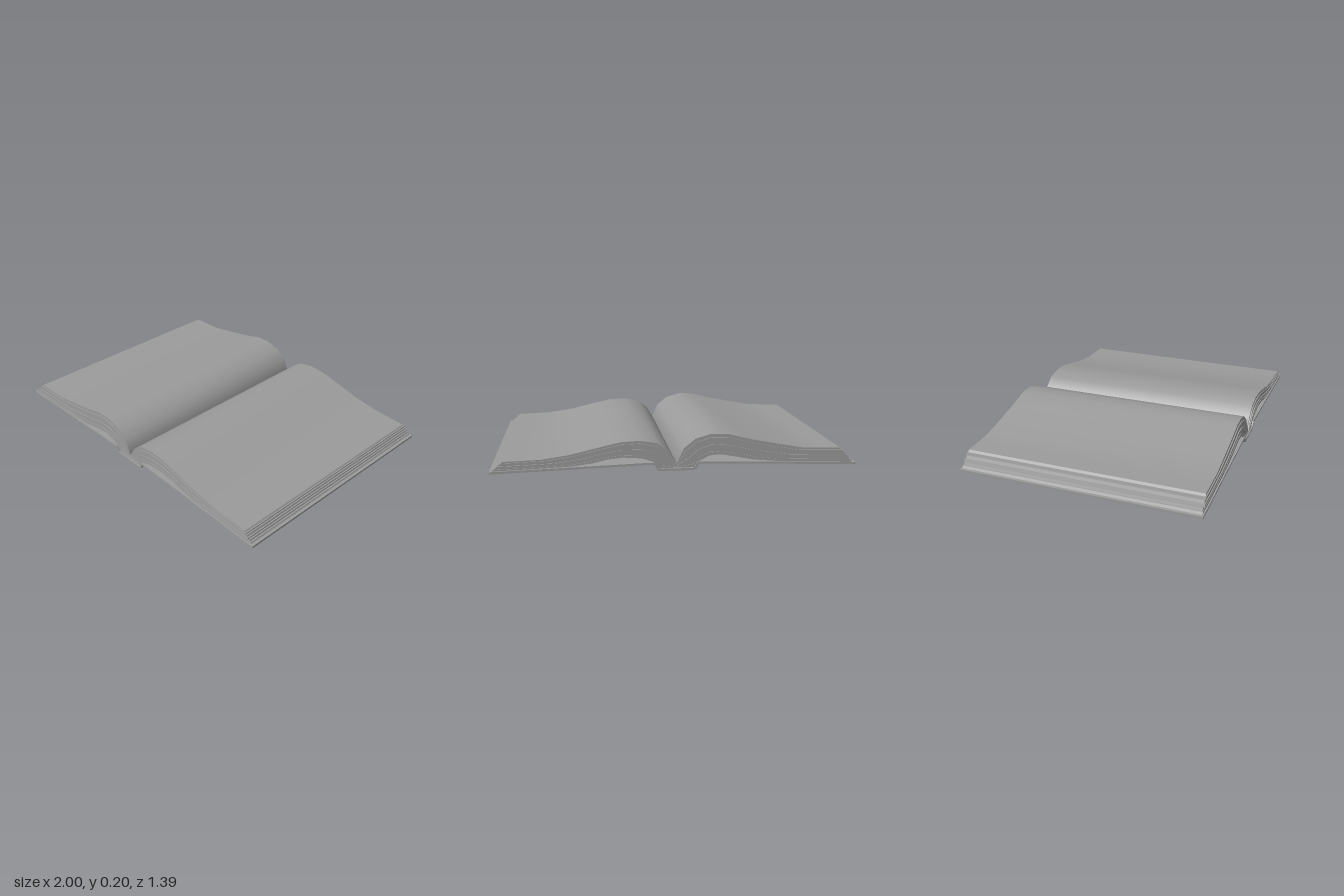
import * as THREE from 'three';
import { toCreasedNormals } from 'three/addons/utils/BufferGeometryUtils.js';

const material = new THREE.MeshStandardMaterial({ color: 0x9b9b9b });

// Extrudes an x/y outline along z, centred on z = 0
function slab(name, outline, halfDepth) {
  const shape = new THREE.Shape(outline.map(([x, y]) => new THREE.Vector2(x, y)));
  const geo = new THREE.ExtrudeGeometry(shape, { depth: halfDepth * 2, bevelEnabled: false });
  geo.translate(0, 0, -halfDepth);
  const mesh = new THREE.Mesh(toCreasedNormals(geo, 0.6), material);
  mesh.name = name;
  return mesh;
}

// Page curves from the gutter to the fore-edge; top and bottom points pair up
const tallTop = [[0, 0.037], [-0.04, 0.12], [-0.105, 0.172], [-0.19, 0.196], [-0.28, 0.194],
  [-0.40, 0.163], [-0.55, 0.134], [-0.70, 0.107], [-0.80, 0.103], [-0.91, 0.101]];
const tallBottom = [[0, 0.014], [-0.095, 0.014], [-0.125, 0.049], [-0.18, 0.077], [-0.24, 0.082],
  [-0.31, 0.070], [-0.42, 0.048], [-0.54, 0.037], [-0.75, 0.029], [-0.984, 0.021]];
const lowTop = [[0, 0.037], [0.04, 0.102], [0.105, 0.151], [0.20, 0.167], [0.30, 0.162],
  [0.42, 0.136], [0.57, 0.100], [0.73, 0.077], [0.83, 0.074], [0.93, 0.071]];
const lowBottom = [[0, 0.014], [0.095, 0.014], [0.125, 0.049], [0.19, 0.071], [0.29, 0.078],
  [0.37, 0.070], [0.46, 0.050], [0.56, 0.037], [0.75, 0.029], [0.984, 0.021]];

// Bunches of pages, each with a slightly different depth and fore-edge
function pageBlock(name, top, bottom, side) {
  const group = new THREE.Group();
  group.name = name;
  const cuts = [0, 0.16, 0.3, 0.5, 0.66, 0.84, 1];
  const depths = [0.68, 0.686, 0.682, 0.688, 0.681, 0.685];
  const curve = t => top.map(([x, y], i) =>
    [x + (bottom[i][0] - x) * t, y + (bottom[i][1] - y) * t]);
  depths.forEach((depth, i) => {
    const upper = curve(cuts[i]);
    const lower = curve(cuts[i + 1]);
    // Each bunch is cut a little steeper than the whole slanted fore-edge
    if (i > 0) upper[upper.length - 1][0] += side * 0.004;
    if (i < 5) lower[lower.length - 1][0] -= side * 0.003;
    group.add(slab('pages', [...upper, ...lower.reverse()], depth));
  });
  return group;
}

export function createModel() {
  const book = new THREE.Group();
  book.name = 'openBook';

  book.add(pageBlock('rightPageBlock', tallTop, tallBottom, -1));
  book.add(pageBlock('leftPageBlock', lowTop, lowBottom, 1));

  // Cover boards slope down from the spine to the table
  for (const s of [-1, 1]) {
    book.add(slab(s < 0 ? 'rightCover' : 'leftCover', [
      [s * 0.115, 0.047], [s * 0.15, 0.047], [s, 0.020],
      [s, 0.007], [s * 0.15, 0.036], [s * 0.115, 0.035],
    ], 0.693));
  }

  // Shallow channel-shaped spine
  const outer = [[0.122, 0.036], [0.112, 0.015], [0.105, 0.005], [0.09, 0]];
  const inner = [[0.082, 0.012], [0.098, 0.017], [0.104, 0.03], [0.115, 0.047]];
  const mirror = pts => pts.map(([x, y]) => [-x, y]).reverse();
  book.add(slab('spine', [...outer, ...mirror(outer), ...mirror(inner), ...inner], 0.693));

  return book;
}
